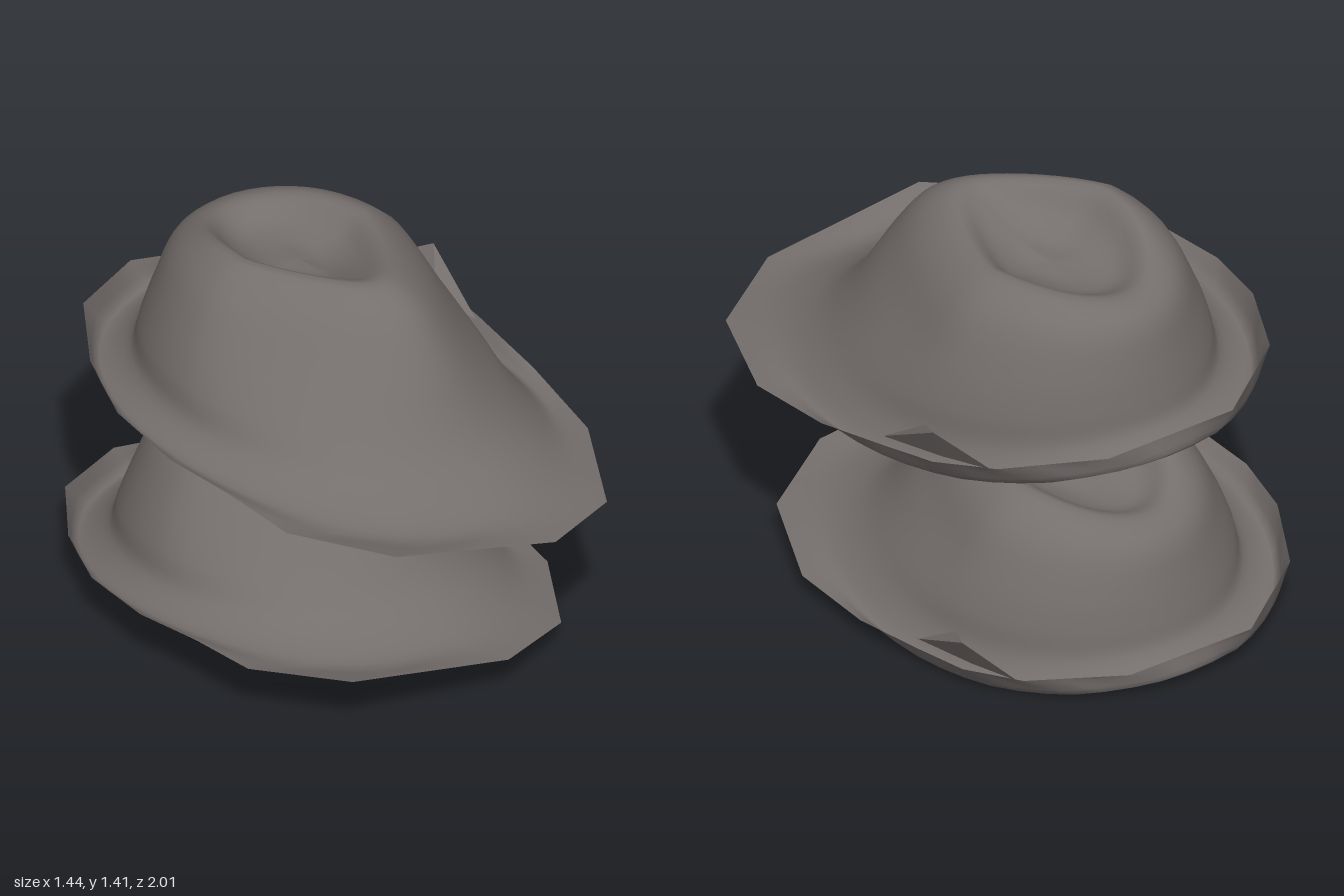
import * as THREE from 'three';
import { mergeVertices } from 'three/addons/utils/BufferGeometryUtils.js';

const COLS = 48;
const STEPS = 4;

// Rings from dent to brim: xLow, xHigh, zFront, zBack, y at front/+x/back/-x, front pinch
const RINGS = [
  [0.04, 0.04, -0.22, -0.22, 1.25, 1.25, 1.25, 1.25, 0],
  [-0.06, 0.12, -0.08, -0.36, 1.27, 1.24, 1.235, 1.255, 0.4],
  [-0.15, 0.21, 0.07, -0.46, 1.34, 1.27, 1.24, 1.31, 0.5],
  [-0.23, 0.3, 0.18, -0.57, 1.38, 1.33, 1.28, 1.4, 0.45],
  [-0.34, 0.42, 0.3, -0.67, 1.32, 1.25, 1.23, 1.33, 0.35],
  [-0.44, 0.51, 0.42, -0.72, 1.17, 1.07, 1.08, 1.19, 0.25],
  [-0.52, 0.56, 0.55, -0.745, 0.97, 0.92, 0.97, 1.04, 0.1],
  [-0.56, 0.585, 0.66, -0.77, 0.865, 0.8, 0.88, 0.94, 0],
  [-0.66, 0.645, 0.82, -0.87, 0.79, 0.71, 0.825, 0.893, 0],
];

// Angular brim edge, from the front round by +x
const EDGE = [
  [0.05, 0.76, 1.0], [0.37, 0.71, 0.9], [0.6, 0.71, 0.56], [0.67, 0.74, 0.22],
  [0.69, 0.785, -0.07], [0.69, 0.81, -0.28], [0.62, 0.84, -0.5], [0.37, 0.87, -0.76],
  [-0.06, 0.92, -0.92], [-0.38, 0.97, -0.8], [-0.58, 0.97, -0.55], [-0.69, 0.95, -0.3],
  [-0.73, 0.94, 0.0], [-0.7, 0.92, 0.25], [-0.68, 0.89, 0.5], [-0.49, 0.87, 0.82],
].map((p) => new THREE.Vector3(...p));

function ringPoint([xl, xr, zf, zb, yf, yr, yb, yl, pinch], t) {
  const s = Math.sin(t), c = Math.cos(t);
  const x = (xl + xr) / 2 + ((xr - xl) / 2) * s * (1 - pinch * Math.max(c, 0));
  const y = (c > 0 ? yf : yb) * c * c + (s > 0 ? yr : yl) * s * s;
  return new THREE.Vector3(x, y, (zf + zb) / 2 + ((zf - zb) / 2) * c);
}

function edgePoint(i) {
  const u = (i / COLS) * EDGE.length, k = Math.floor(u);
  return EDGE[k].clone().lerp(EDGE[(k + 1) % EDGE.length], u - k);
}

// One continuous felt shell: dented crown flowing into the brim
function hatGeometry() {
  const rows = RINGS.length * STEPS;
  const positions = [], index = [];
  for (let i = 0; i < COLS; i++) {
    const t = (i / COLS) * Math.PI * 2;
    const profile = new THREE.CatmullRomCurve3([...RINGS.map((r) => ringPoint(r, t)), edgePoint(i)]);
    for (let j = 0; j <= rows; j++) positions.push(...profile.getPoint(j / rows).toArray());
    const a = i * (rows + 1), b = ((i + 1) % COLS) * (rows + 1);
    for (let j = 0; j < rows; j++) {
      if (j > 0) index.push(a + j, a + j + 1, b + j);
      index.push(b + j, a + j + 1, b + j + 1);
    }
  }
  const g = new THREE.BufferGeometry();
  g.setAttribute('position', new THREE.Float32BufferAttribute(positions, 3));
  g.setIndex(index);
  return mergeVertices(g, 1e-5);
}

// Pointed tab flaring out above the side of the brim
function tabGeometry() {
  const front = [0.66, 0.795, -0.04], middle = [0.645, 0.81, -0.28], back = [0.63, 0.835, -0.48];
  const inner = [0.59, 0.855, -0.16], tip = [0.71, 0.94, -0.3];
  const corners = [front, middle, tip, middle, back, tip, inner, front, tip].flat();
  const g = new THREE.BufferGeometry();
  g.setAttribute('position', new THREE.Float32BufferAttribute(corners, 3));
  return g;
}

function makeHat(name, material, placement) {
  const hat = new THREE.Group();
  hat.name = name;
  for (const [part, geometry] of [['shell', hatGeometry()], ['brimTab', tabGeometry()]]) {
    geometry.applyMatrix4(placement);
    geometry.computeVertexNormals();
    const mesh = new THREE.Mesh(geometry, material);
    mesh.name = part;
    hat.add(mesh);
  }
  return hat;
}

export function createModel() {
  const group = new THREE.Group();
  const felt = new THREE.MeshStandardMaterial({ color: 0x746e6c, side: THREE.DoubleSide });
  felt.name = 'warm grey felt';

  // Lower hat: slightly shorter, tipped back and set further behind
  const tipped = new THREE.Matrix4().set(
    1, 0, 0, 0.005,
    -0.012, 0.918, 0.1, -0.637,
    0, 0.03, 0.927, -0.18,
    0, 0, 0, 1,
  );
  group.add(makeHat('upperHat', felt, new THREE.Matrix4()), makeHat('lowerHat', felt, tipped));
  return group;
}
